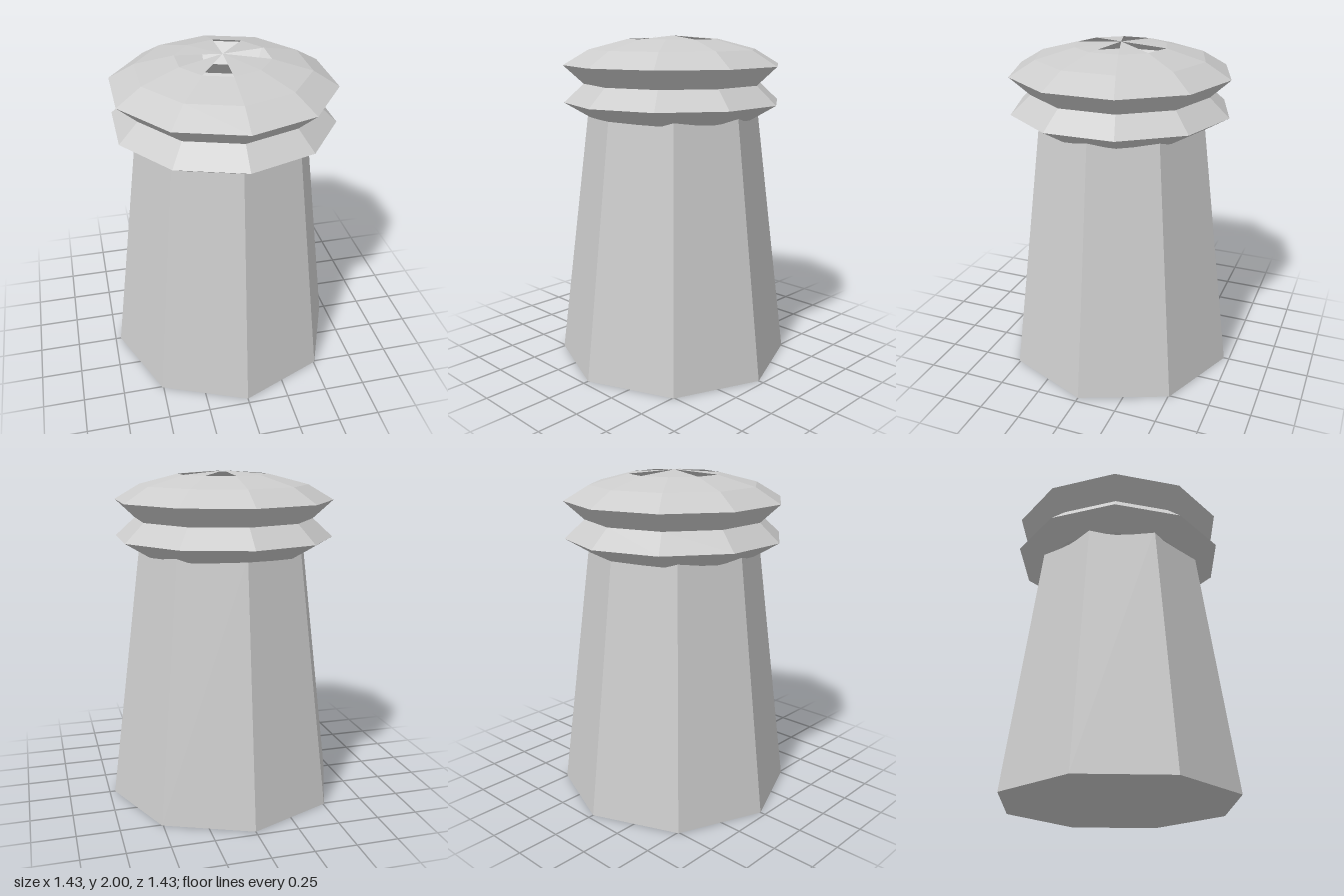
import * as THREE from 'three';

const SEGMENTS = 10;
const STEP = (Math.PI * 2) / SEGMENTS;

// Revolve [radius, height] pairs, listed from bottom to top
function lathe(profile, segments = SEGMENTS, firstSegment = 0) {
  const points = profile.map(([r, y]) => new THREE.Vector2(r, y));
  return new THREE.LatheGeometry(points, segments, firstSegment * STEP, segments * STEP);
}

export function createModel() {
  const group = new THREE.Group();
  group.name = 'shaker';

  const grey = new THREE.MeshStandardMaterial({
    color: 0xcccccc, flatShading: true, side: THREE.DoubleSide,
  });
  grey.name = 'light grey';

  function add(name, geometry, parent = group) {
    const mesh = new THREE.Mesh(geometry, grey);
    mesh.name = name;
    parent.add(mesh);
    return mesh;
  }

  // Eight-sided tapered body, closed at both ends
  const bodyHeight = 1.56;
  add('body', new THREE.CylinderGeometry(0.517, 0.717, bodyHeight, 8)).position.y = bodyHeight / 2;

  // Hollow ten-sided cap: underside, lower rim, waist, upper rim and dome
  const cap = new THREE.Group();
  cap.name = 'cap';
  group.add(cap);
  add('capShell', lathe([
    [0.275, 1.46], [0.507, 1.52], [0.66, 1.61], [0.54, 1.72],
    [0.66, 1.83], [0.507, 1.92], [0.275, 1.98],
  ]), cap);

  // Shallow crown with four open wedges as shaker holes
  const holes = [2, 4, 7, 9];
  for (let k = 0; k < SEGMENTS; k++) {
    if (!holes.includes(k)) add('crownWedge', lathe([[0.275, 1.98], [0, 2]], 1, k), cap);
  }

  return group;
}
